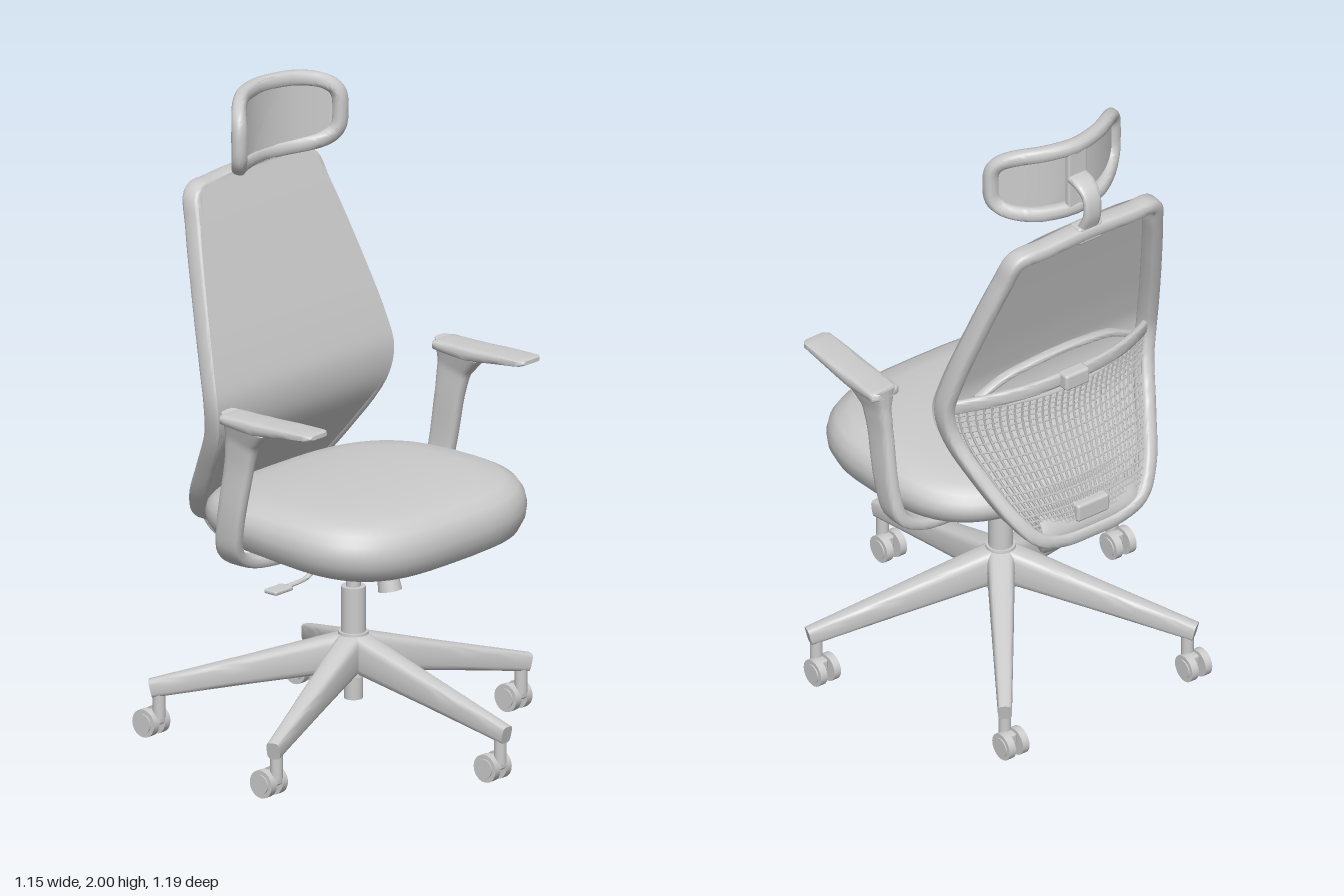
import * as THREE from 'three';
import { mergeVertices, toCreasedNormals } from 'three/addons/utils/BufferGeometryUtils.js';
import { RoundedBoxGeometry } from 'three/addons/geometries/RoundedBoxGeometry.js';

const mat = new THREE.MeshStandardMaterial({ color: 0xcccccc, side: THREE.DoubleSide });
const V = (x, y, z) => new THREE.Vector3(x, y, z);
const X = V(1, 0, 0), Z = V(0, 0, 1);
const pow = (c, e) => Math.sign(c) * Math.abs(c) ** e;

function add(parent, name, geometry, x = 0, y = 0, z = 0) {
  const mesh = new THREE.Mesh(geometry, mat);
  mesh.name = name;
  mesh.position.set(x, y, z);
  parent.add(mesh);
  return mesh;
}

// Grid surface from fn(row, column)
function surface(rows, cols, fn) {
  const pos = [], index = [];
  for (let i = 0; i <= rows; i++)
    for (let j = 0; j <= cols; j++) pos.push(...fn(i, j).toArray());
  for (let i = 0; i < rows; i++)
    for (let j = 0; j < cols; j++) {
      const a = i * (cols + 1) + j, b = a + cols + 1;
      index.push(a, b, a + 1, b, b + 1, a + 1);
    }
  const g = new THREE.BufferGeometry();
  g.setAttribute('position', new THREE.Float32BufferAttribute(pos, 3));
  g.setIndex(index);
  return toCreasedNormals(mergeVertices(g, 1e-5), 0.75);
}

// Sweeps a rounded section along a spline; sizes are [width along side, height]
function sweep(points, sizes, side, { closed = false, steps = 24, round = 0.5, sides = 20 } = {}) {
  const curve = new THREE.CatmullRomCurve3(points, closed);
  const rows = closed ? steps : steps + 2;
  const frames = [];
  for (let i = 0; i <= rows; i++) {
    const u = closed ? (i % steps) / steps : THREE.MathUtils.clamp((i - 1) / steps, 0, 1);
    const d = curve.getTangent(u);
    const n = side.clone().addScaledVector(d, -side.dot(d)).normalize();
    const k = u * (sizes.length - 1), a = Math.floor(k), b = Math.min(a + 1, sizes.length - 1);
    const cap = !closed && (i === 0 || i === rows) ? 0 : 0.5;
    const [w, h] = [0, 1].map(q => cap * THREE.MathUtils.lerp(sizes[a][q], sizes[b][q], k - a));
    frames.push({ p: curve.getPoint(u), n, b: n.clone().cross(d), w, h });
  }
  return surface(rows, sides, (i, j) => {
    const f = frames[i], t = (j % sides) / sides * Math.PI * 2;
    return f.p.clone().addScaledVector(f.n, f.w * pow(Math.cos(t), round))
      .addScaledVector(f.b, f.h * pow(Math.sin(t), round));
  });
}

const cyl = (r1, r2, h, n = 28) => new THREE.CylinderGeometry(r1, r2, h, n);
const AXIS = -0.035;

function buildBase(chair) {
  const base = new THREE.Group();
  base.name = 'base';
  chair.add(base);
  add(base, 'hub', cyl(0.045, 0.06, 0.13), AXIS, 0.285);
  add(base, 'columnFoot', cyl(0.03, 0.028, 0.12), AXIS, 0.2);
  add(base, 'columnSleeve', cyl(0.037, 0.037, 0.16), AXIS, 0.41);
  add(base, 'gasPiston', cyl(0.022, 0.022, 0.16), AXIS, 0.55);
  add(base, 'columnSocket', cyl(0.045, 0.035, 0.09), AXIS, 0.615);
  for (let i = 0; i < 5; i++) {
    const a = i * Math.PI * 0.4, r = 0.58;
    const leg = add(base, 'leg', sweep([V(0.01, 0.29, 0), V(0.3, 0.223, 0), V(0.605, 0.152, 0)],
      [[0.085, 0.12], [0.065, 0.085], [0.042, 0.055]], Z, { steps: 10 }), AXIS);
    leg.rotation.y = a;
    const caster = new THREE.Group();
    caster.name = 'caster';
    caster.position.set(AXIS + r * Math.cos(a), 0, -r * Math.sin(a));
    base.add(caster);
    add(caster, 'casterStem', cyl(0.019, 0.019, 0.08, 16), 0, 0.1);
    add(caster, 'casterHood', new RoundedBoxGeometry(0.055, 0.04, 0.03, 2, 0.008), -0.015, 0.06);
    for (const s of [-1, 1]) {
      const wheel = add(caster, 'wheel', cyl(0.043, 0.043, 0.024), -0.03, 0.044, s * 0.025);
      const cap = add(caster, 'wheelCap', cyl(0.03, 0.03, 0.006), -0.03, 0.044, s * 0.038);
      wheel.rotation.x = cap.rotation.x = Math.PI / 2;
    }
  }
}

function buildSeat(chair) {
  // Cushion: superellipse rings, thicker at the front
  const rim = [[0, -1], [0.6, -1], [0.85, -0.94], [0.95, -0.68], [0.99, -0.3], [1, 0.05], [0.985, 0.4],
    [0.945, 0.68], [0.86, 0.88], [0.7, 0.97], [0.4, 1], [0, 1]];
  add(chair, 'seatCushion', surface(rim.length - 1, 64, (i, j) => {
    const t = (j % 64) / 64 * Math.PI * 2, [s, h] = rim[i];
    const u = s * pow(Math.cos(t), 0.62);
    const z = 0.46 * s * pow(Math.sin(t), 0.62) * (1 - 0.05 * (u - 0.2) ** 2);
    const top = 0.84 - 0.026 * (u - 0.1) ** 2, bottom = 0.66 - 0.03 * u;
    return V(0.01 + 0.4 * u, THREE.MathUtils.lerp(bottom, top, (h + 1) / 2), z);
  }));
  // Tilt mechanism
  add(chair, 'mechanism', new RoundedBoxGeometry(0.34, 0.06, 0.2, 2, 0.015), -0.03, 0.635);
  add(chair, 'seatPlate', new RoundedBoxGeometry(0.5, 0.03, 0.5, 2, 0.012), 0.0, 0.652);
  const knob = add(chair, 'tensionKnob', cyl(0.027, 0.036, 0.1), 0.1, 0.555);
  knob.rotation.z = 0.2;
  add(chair, 'lever', sweep([V(-0.05, 0.62, 0.1), V(-0.05, 0.595, 0.14), V(-0.05, 0.56, 0.19), V(-0.05, 0.552, 0.28)],
    [[0.016, 0.014]], X, { round: 1, sides: 10 }));
  add(chair, 'leverPaddle', new RoundedBoxGeometry(0.05, 0.014, 0.08, 2, 0.006), -0.05, 0.552, 0.32);
}

function buildArms(chair) {
  for (const s of [1, -1]) {
    const arm = new THREE.Group();
    arm.name = s > 0 ? 'leftArm' : 'rightArm';
    chair.add(arm);
    const at = (x, y, z) => V(x, y, z * s);
    add(arm, 'armUpright', sweep([at(-0.035, 1.115, 0.48), at(-0.055, 1.05, 0.478), at(-0.07, 0.97, 0.475),
      at(-0.105, 0.78, 0.475), at(-0.122, 0.69, 0.455), at(-0.128, 0.645, 0.39), at(-0.125, 0.625, 0.28), at(-0.11, 0.625, 0.1)],
      [[0.17, 0.08], [0.115, 0.045], [0.1, 0.04], [0.09, 0.042], [0.085, 0.045], [0.08, 0.04], [0.08, 0.035], [0.08, 0.03]],
      X, { steps: 36 }));
    const ys = [[-0.112, 1.122], [-0.1, 1.121], [0.02, 1.117], [0.13, 1.125], [0.235, 1.132], [0.25, 1.133]];
    add(arm, 'armPad', sweep(ys.map(([x, y]) => at(x, y, 0.48)),
      [[0.07, 0.02], [0.1, 0.03], [0.1, 0.044], [0.1, 0.034], [0.098, 0.02], [0.07, 0.012]], Z, { steps: 25, round: 0.4 }));
  }
}

function buildBack(chair) {
  const back = new THREE.Group();
  back.name = 'backrest';
  chair.add(back);
  // Half outline from top centre to bottom centre
  const half = [V(-0.42, 1.725, 0), V(-0.42, 1.718, 0.17), V(-0.41, 1.69, 0.265), V(-0.378, 1.6, 0.297),
    V(-0.31, 1.4, 0.347), V(-0.245, 1.2, 0.388), V(-0.222, 1.1, 0.398), V(-0.235, 1.0, 0.378),
    V(-0.31, 0.87, 0.325), V(-0.39, 0.75, 0.262), V(-0.428, 0.68, 0.2), V(-0.435, 0.65, 0.11), V(-0.435, 0.645, 0)];
  const outline = new THREE.CatmullRomCurve3(half);
  add(back, 'backPanel', surface(60, 12, (i, j) => {
    const p = outline.getPoint(i / 60);
    return V(p.x, p.y, p.z * (j / 6 - 1));
  }));
  // Frame around the panel
  const loop = [...half, ...half.slice(1, -1).reverse().map(p => V(p.x, p.y, -p.z))]
    .map(p => V(p.x - 0.033, p.y - (p.y > 1.7 ? 0.018 : 0), p.z * 0.945));
  add(back, 'backFrame', sweep(loop, [[0.062, 0.045]], X, { closed: true, steps: 144, sides: 16 }));
  // Support running under the seat
  add(back, 'backSupport', sweep([V(-0.44, 0.74, 0), V(-0.465, 0.67, 0), V(-0.435, 0.617, 0), V(-0.34, 0.605, 0), V(-0.12, 0.61, 0)],
    [[0.36, 0.04], [0.36, 0.05], [0.32, 0.05], [0.24, 0.045], [0.18, 0.04]], Z, { steps: 30, round: 0.35 }));
  add(back, 'backLatch', new RoundedBoxGeometry(0.04, 0.06, 0.12, 2, 0.01), -0.475, 0.725);
  // Lumbar bar, arch and slider
  const arc = (pts) => [...pts, ...pts.slice(0, -1).reverse().map(p => V(p.x, p.y, -p.z))];
  add(back, 'lumbarBar', sweep(arc([V(-0.265, 1.11, 0.37), V(-0.33, 1.13, 0.26), V(-0.37, 1.14, 0.13), V(-0.38, 1.145, 0)]),
    [[0.02, 0.045]], X, { steps: 32 }));
  add(back, 'lumbarArch', sweep(arc([V(-0.3, 1.13, 0.29), V(-0.31, 1.175, 0.2), V(-0.325, 1.2, 0.1), V(-0.33, 1.208, 0)]),
    [[0.03, 0.02]], X, { steps: 32 }));
  add(back, 'lumbarSlider', new RoundedBoxGeometry(0.045, 0.055, 0.09, 2, 0.01), -0.395, 1.145);
  // Open mesh below the lumbar bar
  const mesh = new THREE.Group();
  mesh.name = 'lumbarMesh';
  back.add(mesh);
  const onMesh = (v, t) => {
    const p = outline.getPoint((6 + 3.6 * v) / 12);
    return V(p.x - 0.045 - (0.11 - 0.09 * v) * (1 - t * t), p.y, p.z * 0.92 * t);
  };
  const strand = (fn) => add(mesh, 'meshStrand', new THREE.TubeGeometry(
    new THREE.CatmullRomCurve3([...Array(9).keys()].map(k => fn(k / 8))), 12, 0.0045, 4));
  for (let i = 0; i <= 32; i++) strand(k => onMesh(k, i / 16 - 1));
  for (let i = 0; i <= 18; i++) strand(k => onMesh(i / 18, k * 2 - 1));
}

function buildHeadrest(chair) {
  const head = new THREE.Group();
  head.name = 'headrest';
  chair.add(head);
  const bent = (s, t, dx) => {
    const z = s * 0.25 * pow(Math.cos(t), 0.5), y = s * 0.13 * pow(Math.sin(t), 0.55);
    return V(-0.4 + dx + 0.115 * (z / 0.25) ** 2, 1.87 + y, z);
  };
  const ring = [...Array(32).keys()].map(k => bent(1, k / 32 * Math.PI * 2, 0));
  for (const p of ring) { p.z *= 0.91; p.y = 1.87 + (p.y - 1.87) * 0.83; }
  add(head, 'headFrame', sweep(ring, [[0.042, 0.046]], X, { closed: true, steps: 96, round: 0.7, sides: 14 }));
  add(head, 'headPad', surface(8, 64, (i, j) =>
    bent(0.97 * i / 8, (j % 64) / 32 * Math.PI, 0.016)));
  // Bracket joining the headrest to the frame
  add(head, 'headBracket', sweep([V(-0.45, 1.68, 0), V(-0.462, 1.72, 0), V(-0.485, 1.78, 0), V(-0.478, 1.84, 0), V(-0.445, 1.868, 0), V(-0.4, 1.875, 0)],
    [[0.085, 0.035], [0.07, 0.03], [0.06, 0.022], [0.06, 0.022], [0.07, 0.025], [0.07, 0.03]], Z, { steps: 30 }));
  add(head, 'bracketClamp', new RoundedBoxGeometry(0.05, 0.06, 0.09, 2, 0.01), -0.455, 1.705);
  add(head, 'headSlider', new RoundedBoxGeometry(0.022, 0.2, 0.07, 2, 0.008), -0.405, 1.87);
}

export function createModel() {
  const chair = new THREE.Group();
  chair.name = 'officeChair';
  buildBase(chair);
  buildSeat(chair);
  buildArms(chair);
  buildBack(chair);
  buildHeadrest(chair);
  return chair;
}
